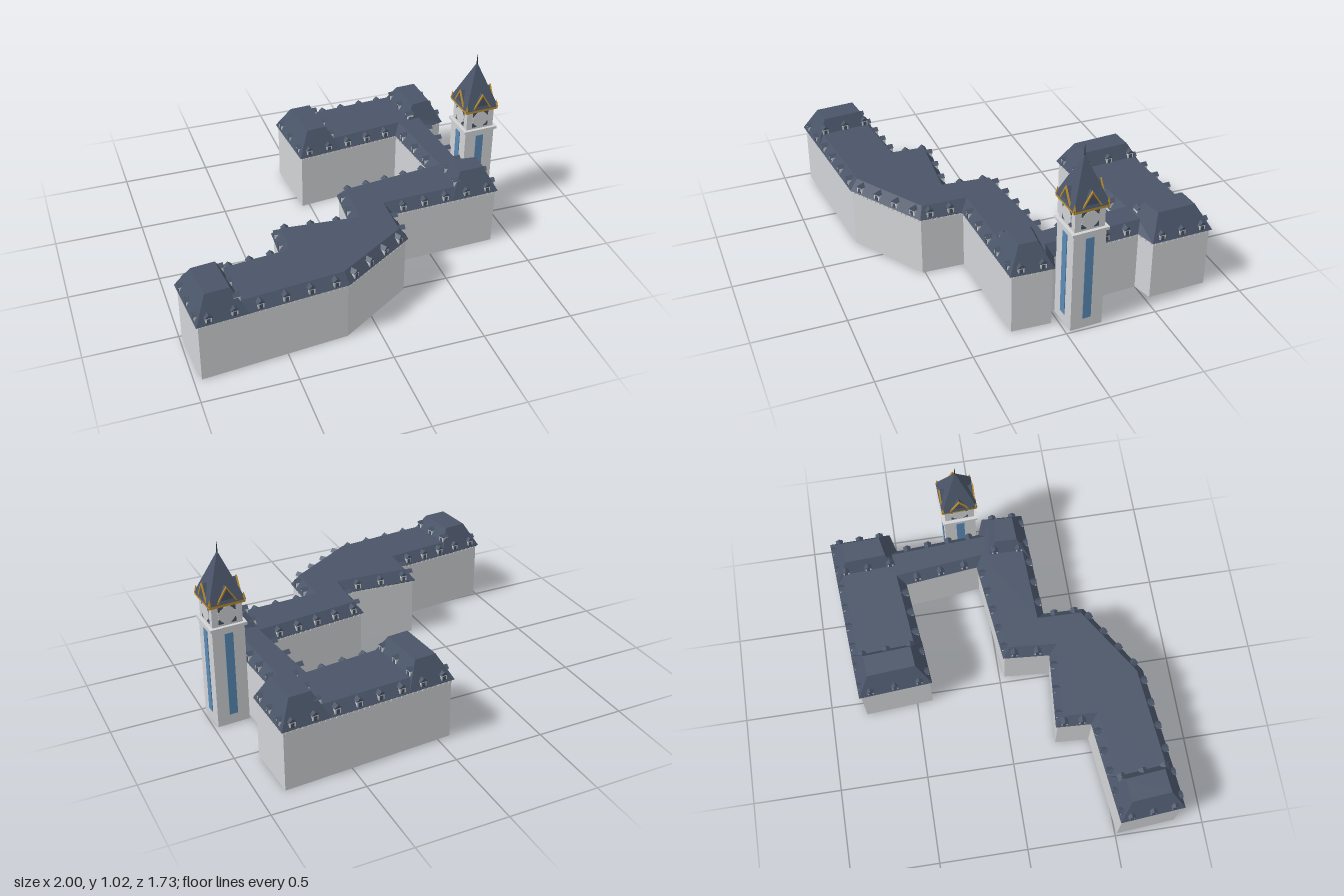
import * as THREE from 'three';
import { mergeGeometries } from 'three/addons/utils/BufferGeometryUtils.js';

const mat = (name, color, side = THREE.FrontSide) => {
  const m = new THREE.MeshStandardMaterial({ color, side });
  m.name = name;
  return m;
};

// Heights of the building
const EAVE = 0.345, FLAT = 0.405, PAVILION = 0.48;

// Eave outline [x, z], clockwise seen from above
const OUTLINE = [
  [-0.085, -0.81], [0.88, -0.87], [0.89, -0.52], [0.78, -0.49], [0.81, -0.005],
  [0.905, 0.03], [0.895, 0.265], [0.26, 0.29], [0.255, 0.52], [-0.165, 0.785],
  [-0.97, 0.86], [-1.0, 0.5], [-0.43, 0.44], [-0.42, 0.245], [0.005, 0.28],
  [0.025, 0.02], [0.605, -0.045], [0.56, -0.46], [-0.055, -0.395],
];

// Corner pavilions: eave corners, plus the edges that rise from the flat roof
const PAVILIONS = [
  { name: 'backRightPavilion', eave: [[-0.085, -0.81], [0.18, -0.827], [0.205, -0.42], [-0.055, -0.395]], inner: [1] },
  { name: 'backLeftPavilion', eave: [[0.615, -0.853], [0.88, -0.87], [0.89, -0.52], [0.635, -0.47]], inner: [3] },
  { name: 'frontLeftPavilion', eave: [[0.62, 0.0], [0.905, 0.03], [0.895, 0.265], [0.61, 0.277]], inner: [3] },
  { name: 'frontRightPavilion', eave: [[-1.0, 0.5], [-0.73, 0.472], [-0.695, 0.835], [-0.97, 0.86]], inner: [1] },
];

// Each edge with its start, direction, outward normal and length
function edges(poly) {
  return poly.map((a, i) => {
    const b = poly[(i + 1) % poly.length];
    const dx = b[0] - a[0], dz = b[1] - a[1], len = Math.hypot(dx, dz);
    return { a, len, d: [dx / len, dz / len], n: [dz / len, -dx / len] };
  });
}

// Polygon moved inwards by a fixed distance
function inset(poly, dist) {
  const e = edges(poly);
  return poly.map(([x, z], i) => {
    const p = e[(i + poly.length - 1) % poly.length].n, q = e[i].n;
    const k = dist / (1 + p[0] * q[0] + p[1] * q[1]);
    return [x - (p[0] + q[0]) * k, z - (p[1] + q[1]) * k];
  });
}

// Ring of flat faces between two matching polygons
function band(low, y0, high, y1) {
  const pos = [];
  low.forEach((_, i) => {
    const j = (i + 1) % low.length;
    const a = [low[i][0], y0, low[i][1]], b = [low[j][0], y0, low[j][1]];
    const c = [high[j][0], y1, high[j][1]], d = [high[i][0], y1, high[i][1]];
    pos.push(...a, ...d, ...b, ...b, ...d, ...c);
  });
  const g = new THREE.BufferGeometry();
  g.setAttribute('position', new THREE.Float32BufferAttribute(pos, 3));
  g.computeVertexNormals();
  return g;
}

// Flat lid over a polygon
function lid(poly, y) {
  const shape = new THREE.Shape(poly.map(([x, z]) => new THREE.Vector2(x, -z)));
  return new THREE.ShapeGeometry(shape).rotateX(-Math.PI / 2).translate(0, y, 0);
}

// Triangular prism along z, standing on y = 0
function prism(width, height, depth, rim = 0) {
  const tri = (w, h, y) => [new THREE.Vector2(-w / 2, y), new THREE.Vector2(w / 2, y), new THREE.Vector2(0, y + h)];
  const shape = new THREE.Shape(tri(width, height, 0));
  if (rim) shape.holes.push(new THREE.Path(tri(width * (1 - 4 * rim), height * (1 - 4 * rim), height * rim)));
  return new THREE.ExtrudeGeometry(shape, { depth, bevelEnabled: false }).translate(0, 0, -depth / 2);
}

export function createModel() {
  const stone = mat('stone', 0xd1d3d6, THREE.DoubleSide);
  const slate = mat('slate', 0x4a5568, THREE.DoubleSide);
  const glass = mat('blueGlass', 0x5a8ab5);
  const gold = mat('gold', 0xc0902c);
  const dark = mat('darkMetal', 0x2d3442);
  const model = new THREE.Group();
  model.name = 'building';

  const add = (parent, name, geometry, material, x = 0, y = 0, z = 0) => {
    const m = new THREE.Mesh(geometry, material);
    m.name = name;
    m.position.set(x, y, z);
    parent.add(m);
    return m;
  };

  // Walls, open underneath
  const wallLine = inset(OUTLINE, 0.012);
  add(model, 'walls', band(wallLine, 0, wallLine, EAVE), stone);

  // Mansard roof with a small soffit
  const flatLine = inset(OUTLINE, 0.045);
  add(model, 'eaves', band(wallLine, EAVE - 0.01, OUTLINE, EAVE), slate);
  add(model, 'mansardSlopes', band(OUTLINE, EAVE, flatLine, FLAT), slate);
  add(model, 'flatRoof', lid(flatLine, FLAT), slate);

  // Small brackets under the eaves
  const brackets = [];
  for (const e of edges(wallLine)) {
    const count = Math.floor(e.len / 0.03);
    for (let i = 0; i < count; i++) {
      const t = (i + 0.5) * e.len / count;
      brackets.push(new THREE.BoxGeometry(0.012, 0.012, 0.012)
        .rotateY(Math.atan2(e.n[0], e.n[1]))
        .translate(e.a[0] + e.d[0] * t, EAVE - 0.012, e.a[1] + e.d[1] * t));
    }
  }
  add(model, 'eaveBrackets', mergeGeometries(brackets), stone);

  // Dormer: stone body, dark pane and gabled roof, facing +z
  const bodyGeo = new THREE.BoxGeometry(0.034, 0.036, 0.036);
  const paneGeo = new THREE.BoxGeometry(0.018, 0.026, 0.003);
  const roofGeo = prism(0.042, 0.018, 0.042);
  const dormerRow = (e, y, back) => {
    const count = Math.max(1, Math.round(e.len / 0.125));
    if (e.len < 0.15) return;
    for (let i = 0; i < count; i++) {
      const t = (i + 0.5) * e.len / count;
      const dormer = new THREE.Group();
      dormer.name = 'dormer';
      add(dormer, 'dormerBody', bodyGeo, stone, 0, 0.022, -0.018);
      add(dormer, 'dormerPane', paneGeo, slate, 0, 0.02, 0.0005);
      add(dormer, 'dormerRoof', roofGeo, slate, 0, 0.039, -0.018);
      dormer.position.set(e.a[0] + e.d[0] * t - e.n[0] * back, y, e.a[1] + e.d[1] * t - e.n[1] * back);
      dormer.rotation.y = Math.atan2(e.n[0], e.n[1]);
      model.add(dormer);
    }
  };
  edges(OUTLINE).forEach((e) => dormerRow(e, EAVE, 0.006));

  // Taller pavilion roofs
  for (const { name, eave, inner } of PAVILIONS) {
    const top = inset(eave, 0.072);
    add(model, name + 'Slopes', band(eave, EAVE, top, PAVILION), slate);
    add(model, name + 'Top', lid(top, PAVILION), slate);
    inner.forEach((i) => dormerRow(edges(eave)[i], FLAT - 0.01, 0.03));
  }

  // Clock tower
  const tower = new THREE.Group();
  tower.name = 'clockTower';
  tower.position.set(0.893, 0, -0.11);
  tower.rotation.y = 0.05;
  model.add(tower);
  const block = (name, w, y0, y1, m) =>
    add(tower, name, new THREE.BoxGeometry(w, y1 - y0, w), m, 0, (y0 + y1) / 2, 0);
  block('towerShaft', 0.178, 0, 0.575, stone);
  block('towerCornice', 0.202, 0.572, 0.588, stone);
  block('clockStage', 0.166, 0.588, 0.705, stone);
  block('goldCornice', 0.196, 0.703, 0.72, gold);

  // Spire, crossing gables and finial
  add(tower, 'spire', new THREE.ConeGeometry(0.1 * Math.SQRT2, 0.25, 4).rotateY(Math.PI / 4).toNonIndexed(), slate, 0, 0.843, 0)
    .geometry.computeVertexNormals();
  add(tower, 'finial', new THREE.CylinderGeometry(0.0015, 0.004, 0.065, 6), dark, 0, 0.984, 0);
  for (const r of [0, Math.PI / 2])
    add(tower, 'crossGable', prism(0.11, 0.09, 0.186), slate, 0, 0.718, 0).rotation.y = r;

  // Details on each tower face
  for (let i = 0; i < 4; i++) {
    const face = new THREE.Group();
    face.name = 'towerFace';
    face.rotation.y = i * Math.PI / 2;
    tower.add(face);
    add(face, 'tallWindow', new THREE.BoxGeometry(0.046, 0.485, 0.006), glass, 0, 0.302, 0.09);
    add(face, 'clockSurround', new THREE.BoxGeometry(0.096, 0.096, 0.004), slate, 0, 0.648, 0.083);
    add(face, 'clockFace', new THREE.CylinderGeometry(0.046, 0.046, 0.005, 24).rotateX(Math.PI / 2), stone, 0, 0.648, 0.0845);
    // Narrow stone cross bars split the surround into four corners
    add(face, 'clockBarUpright', new THREE.BoxGeometry(0.04, 0.098, 0.004), stone, 0, 0.648, 0.0842);
    add(face, 'clockBarLevel', new THREE.BoxGeometry(0.098, 0.04, 0.004), stone, 0, 0.648, 0.0842);
    add(face, 'gableTrim', prism(0.118, 0.096, 0.008, 0.05), gold, 0, 0.717, 0.094);
    add(face, 'cornerPinnacle', new THREE.ConeGeometry(0.011, 0.045, 4), gold, 0.092, 0.738, 0.092);
  }
  return model;
}
